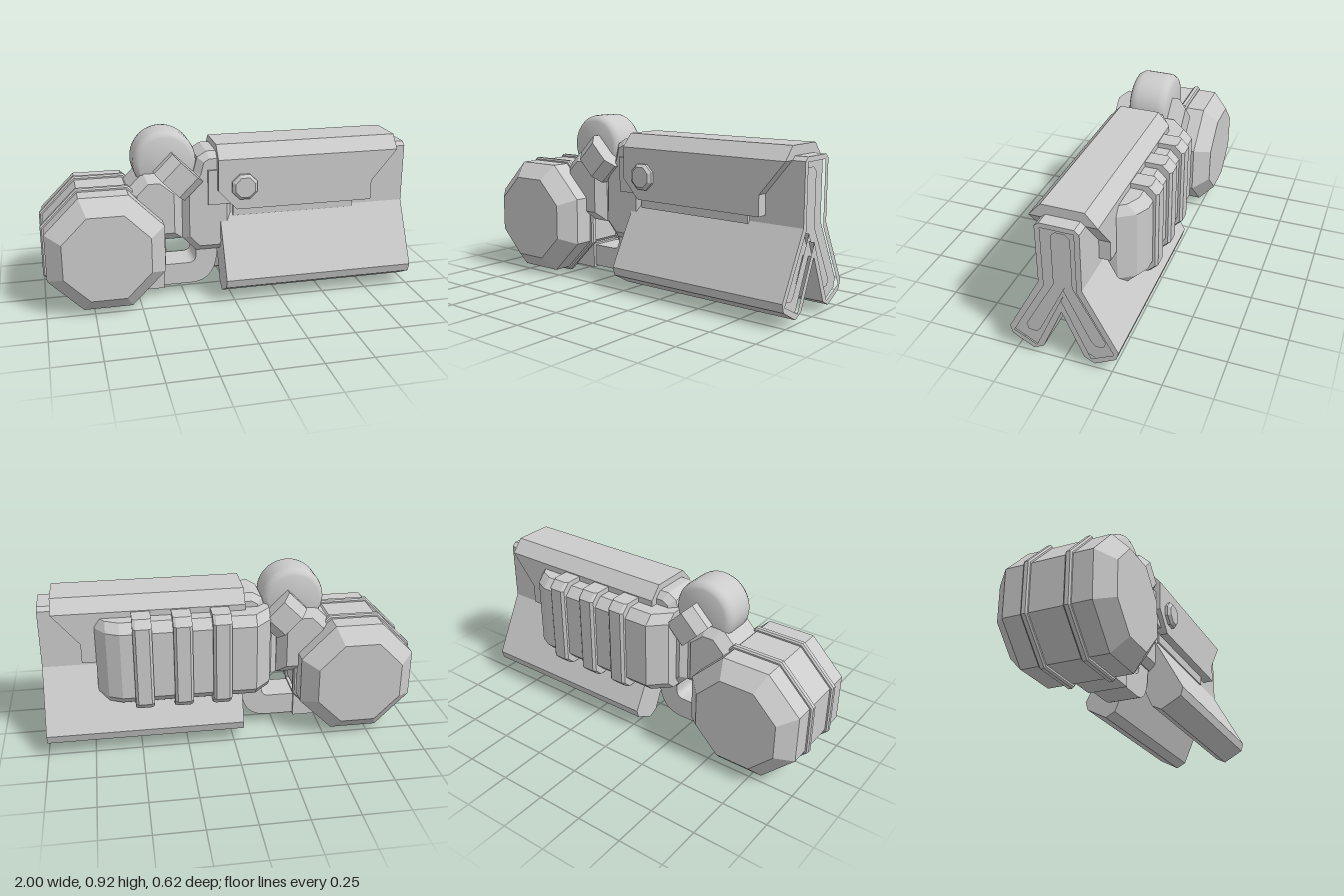
import * as THREE from 'three';
import { toCreasedNormals } from 'three/addons/utils/BufferGeometryUtils.js';

const material = new THREE.MeshStandardMaterial({ color: 0xcccccc });
const toShape = (pts) => new THREE.Shape(pts.map(([x, y]) => new THREE.Vector2(x, y)));

// Extrusion between a and b along z, its ends narrowed by a bevel
function slab(shape, a, b, bevel = 0) {
  const g = new THREE.ExtrudeGeometry(shape, {
    depth: b - a - 2 * bevel, bevelEnabled: bevel > 0, bevelSize: bevel,
    bevelThickness: bevel, bevelOffset: -bevel, bevelSegments: 1, curveSegments: 12,
  });
  return g.translate(0, 0, a + bevel);
}

// Extrusion between a and b along x
const bar = (shape, a, b) => slab(shape, a, b).rotateY(Math.PI / 2);

// Octagon with level flats
function octagon(cx, cy, apothem) {
  const r = apothem / Math.cos(Math.PI / 8);
  return toShape(Array.from({ length: 8 }, (_, i) => {
    const t = (i + 0.5) * Math.PI / 4;
    return [cx + r * Math.cos(t), cy + r * Math.sin(t)];
  }));
}

// Mirror a half outline given from the top centre down to the bottom centre
const mirrored = (half) => toShape([
  ...half, ...half.slice().reverse().filter(([x]) => x > 0).map(([x, y]) => [-x, y]),
]);

// Chamfered pod swept along x, with a depth towards the back at each station
function pod(stations, bottom, top, chamfer) {
  const pos = [], index = [], n = 6;
  for (const [x, d] of stations) {
    pos.push(x, top, -0.05, x, top, -d + chamfer, x, top - chamfer, -d,
      x, bottom + chamfer, -d, x, bottom, -d + chamfer, x, bottom, -0.05);
  }
  for (let s = 0; s < stations.length - 1; s++) {
    for (let i = 0; i < n; i++) {
      const a = s * n + i, b = s * n + (i + 1) % n;
      index.push(a, a + n, b, a + n, b + n, b);
    }
  }
  const last = (stations.length - 1) * n;
  for (let i = 1; i < n - 1; i++) index.push(0, i, i + 1, last, last + i + 1, last + i);
  const g = new THREE.BufferGeometry();
  g.setAttribute('position', new THREE.Float32BufferAttribute(pos, 3));
  g.setIndex(index);
  const flat = g.toNonIndexed();
  flat.computeVertexNormals();
  return flat;
}

export function createModel() {
  const model = new THREE.Group();
  const add = (name, geometry) => {
    const mesh = new THREE.Mesh(geometry, material);
    mesh.name = name;
    model.add(mesh);
    return mesh;
  };

  // Octagonal drum with two raised bands
  add('drum', slab(octagon(-0.678, 0.328, 0.308), -0.308, 0.308, 0.081));
  for (const z of [-0.108, 0.108]) {
    add('drumBand', slab(octagon(-0.677, 0.327, 0.325), z - 0.018, z + 0.018, 0.008));
  }

  // Arm joining the drum to the hinge
  const arm = toShape([[-0.55, 0.33], [-0.255, 0.33], [-0.255, 0.62], [-0.36, 0.71],
    [-0.46, 0.71], [-0.55, 0.62]]);
  add('arm', slab(arm, -0.152, 0.152, 0.05));

  // Hinge wheel with rounded rims
  const wheel = [[0, -0.108], [0.135, -0.108], [0.152, -0.1], [0.165, -0.08], [0.168, -0.06],
    [0.168, 0.06], [0.165, 0.08], [0.152, 0.1], [0.135, 0.108], [0, 0.108]];
  const wheelGeometry = new THREE.LatheGeometry(wheel.map(([r, y]) => new THREE.Vector2(r, y)), 40);
  add('hingeWheel', toCreasedNormals(wheelGeometry.rotateX(Math.PI / 2), 0.6))
    .position.set(-0.34, 0.755, 0);

  // Slanted cross block through the hinge
  const block = toShape([[-0.112, -0.15], [-0.062, -0.197], [0.062, -0.197], [0.112, -0.15],
    [0.112, 0.15], [0.062, 0.197], [-0.062, 0.197], [-0.112, 0.15]]);
  add('crossBlock', slab(block, -0.07, 0.07).rotateX(-Math.PI / 2).rotateZ(-Math.PI / 4))
    .position.set(-0.278, 0.685, 0);

  // Neck between hinge and body
  const neck = toShape([[-0.255, 0.33], [-0.18, 0.25], [-0.03, 0.25], [0.02, 0.4], [0.02, 0.805],
    [-0.12, 0.805], [-0.17, 0.775], [-0.19, 0.7], [-0.255, 0.58]]);
  add('neck', slab(neck, -0.13, 0.13, 0.035));
  add('neckCollar', new THREE.BoxGeometry(0.12, 0.19, 0.29)).position.set(-0.06, 0.615, 0);

  // Curved flat hose under the neck
  const hose = new THREE.Shape();
  hose.moveTo(-0.42, 0.055);
  hose.lineTo(-0.21, 0.055);
  hose.bezierCurveTo(-0.11, 0.055, -0.06, 0.12, -0.06, 0.27);
  hose.lineTo(-0.18, 0.27);
  hose.lineTo(-0.18, 0.22);
  hose.quadraticCurveTo(-0.18, 0.175, -0.225, 0.175);
  hose.lineTo(-0.42, 0.175);
  add('hose', toCreasedNormals(slab(hose, -0.09, 0.09), 0.6));
  add('hoseSocket', new THREE.BoxGeometry(0.16, 0.14, 0.21)).position.set(-0.44, 0.115, 0);

  // Body with a forked cross-section and a stepped recess in its end
  const outer = [[0.085, 0.79], [0.109, 0.77], [0.109, 0.455], [0.283, 0.13], [0.27, 0.085],
    [0.16, 0.025], [0.107, 0.052], [0, 0.3]];
  const lip = [[0.082, 0.765], [0.082, 0.438], [0.26, 0.11], [0.143, 0.05], [0, 0.415]];
  const slot = [[0.025, 0.73], [0.046, 0.708], [0.046, 0.433], [0.205, 0.142], [0.195, 0.112],
    [0.155, 0.108], [0.13, 0.122], [0, 0.37]];
  // the lip runs around the fork, so its lower apex stays above the body's
  lip[4] = [0, 0.372];
  slot[7] = [0, 0.41];
  slot[6] = [0.135, 0.13];
  const holed = (inner) => {
    const s = mirrored(outer);
    s.holes.push(mirrored(inner));
    return s;
  };
  add('body', bar(mirrored(outer), -0.05, 0.94));
  add('endRecess', bar(holed(slot), 0.94, 0.97));
  add('endRim', bar(holed(lip), 0.97, 1));

  // Cover over the upper body
  const cover = toShape([[-0.07, 0.77], [-0.07, 0.6], [0.03, 0.493], [0.79, 0.493],
    [0.79, 0.6], [0.93, 0.77]]);
  add('coverSides', slab(cover, -0.168, 0.17));
  add('coverTop', bar(toShape([[-0.17, 0.77], [0.168, 0.77], [0.107, 0.84], [-0.107, 0.84]]), -0.07, 0.93));
  add('coverSpacer', new THREE.BoxGeometry(0.68, 0.06, 0.25)).position.set(0.36, 0.472, 0);

  // Bolt on the front of the cover
  add('bolt', slab(octagon(0.07, 0.62, 0.068), 0.15, 0.2, 0.015));

  // Rear pod with three ribs
  add('rearPod', pod([[-0.2, 0.2], [-0.115, 0.284], [0.59, 0.284], [0.66, 0.25], [0.715, 0.17]],
    0.28, 0.738, 0.048));
  for (const x of [0.067, 0.27, 0.476]) {
    add('podRib', pod([[-0.049, 0.297], [-0.035, 0.31], [0.035, 0.31], [0.049, 0.297]],
      0.257, 0.765, 0.04)).position.x = x;
  }
  return model;
}
